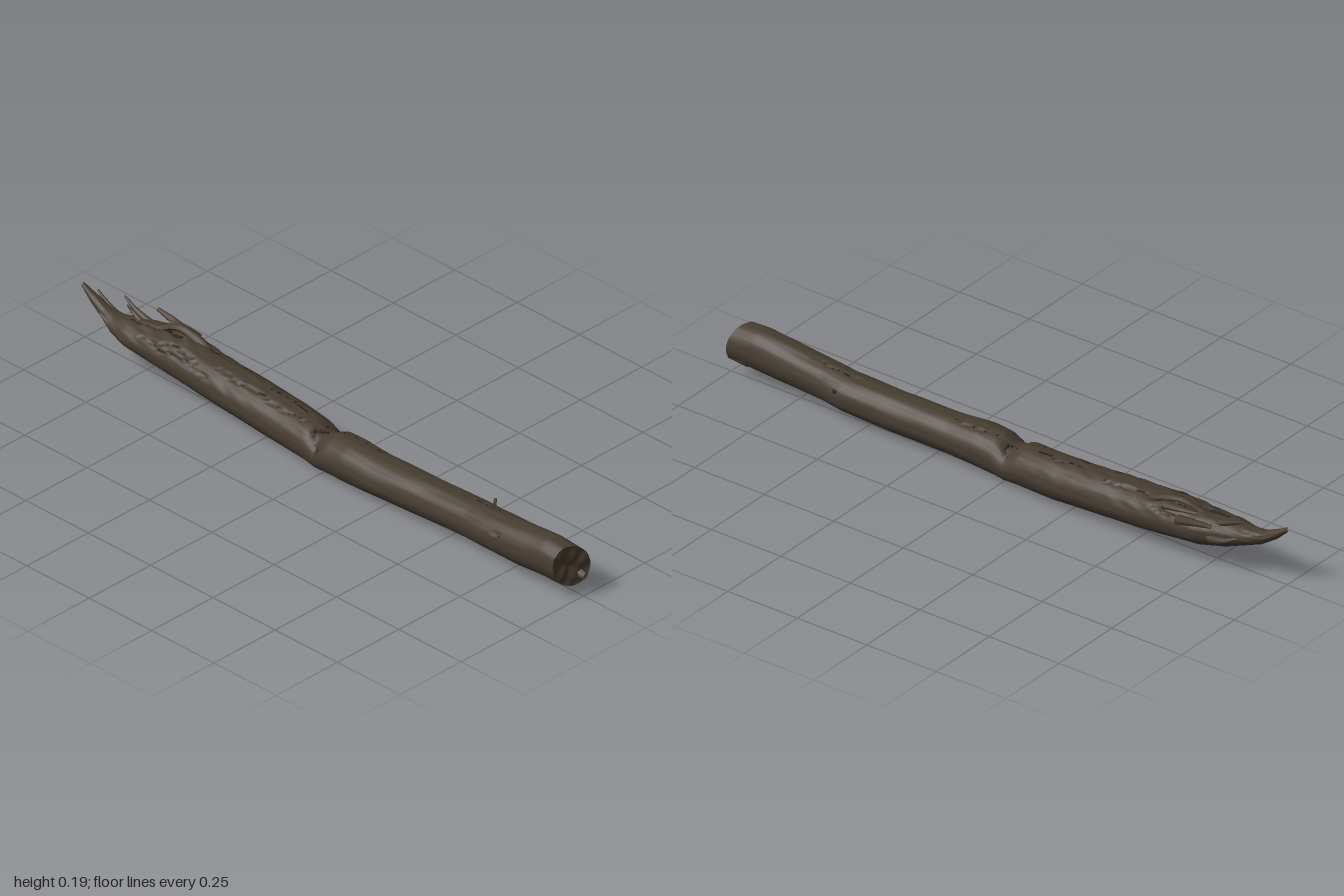
import * as THREE from 'three';

const bark = new THREE.MeshStandardMaterial({ color: 0x463c31 });
bark.name = 'bark brown';
const wood = new THREE.MeshStandardMaterial({ color: 0x483c30, side: THREE.DoubleSide });
wood.name = 'broken wood brown';
const crackDark = new THREE.MeshStandardMaterial({ color: 0x251f19 });
crackDark.name = 'crack dark brown';

// Log sections: x, bottom y, top y, back z, front z
const SECTIONS = [
  [-1, 0.176, 0.19, 0, 0.014], [-0.96, 0.138, 0.17, -0.01, 0.02],
  [-0.91, 0.105, 0.148, -0.018, 0.026], [-0.86, 0.085, 0.14, -0.03, 0.045],
  [-0.8, 0.065, 0.15, -0.055, 0.058], [-0.72, 0.052, 0.157, -0.082, 0.06],
  [-0.6, 0.04, 0.163, -0.086, 0.064], [-0.5, 0.03, 0.155, -0.083, 0.067],
  [-0.4, 0.023, 0.15, -0.08, 0.068], [-0.2, 0.008, 0.138, -0.076, 0.07],
  [-0.06, 0.003, 0.13, -0.064, 0.077], [-0.015, 0.002, 0.11, -0.06, 0.08],
  [0.03, 0.002, 0.133, -0.057, 0.083], [0.1, 0.005, 0.138, -0.055, 0.086],
  [0.2, 0.011, 0.131, -0.052, 0.083], [0.4, 0.015, 0.133, -0.056, 0.073],
  [0.58, 0.021, 0.14, -0.056, 0.069], [0.65, 0.025, 0.145, -0.046, 0.075],
  [0.8, 0.03, 0.157, -0.041, 0.079], [0.9, 0.036, 0.167, -0.038, 0.077],
  [0.972, 0.038, 0.163, -0.035, 0.078],
];
// Cracks along the bark: start x, end x, angle (0 front, PI/2 top), half width, depth
const CRACKS = [
  [-0.74, -0.46, 0.62, 0.06, 0.12], [-0.66, -0.5, 0.95, 0.06, 0.1],
  [-0.82, -0.6, 1.5, 0.09, 0.16], [-0.7, -0.35, 2.0, 0.06, 0.1],
  [-0.45, -0.08, 1.15, 0.06, 0.1], [-0.3, -0.02, 1.75, 0.05, 0.08],
  [-0.78, -0.55, 2.5, 0.07, 0.14], [0.02, 0.2, 1.9, 0.05, 0.08],
  [0.52, 0.72, 1.75, 0.05, 0.08], [0.7, 0.73, 0.5, 0.1, 0.07],
];
const RINGS = 240, SIDES = 64;
const smooth = THREE.MathUtils.smoothstep;

function sectionAt(x) {
  let i = 0;
  while (i < SECTIONS.length - 2 && x > SECTIONS[i + 1][0]) i++;
  const a = SECTIONS[i], b = SECTIONS[i + 1], t = (x - a[0]) / (b[0] - a[0]);
  return a.map((v, k) => v + (b[k] - v) * t);
}

function crackDepth(x, angle) {
  let depth = 0;
  for (const [x0, x1, at, width, d] of CRACKS) {
    if (x < x0 || x > x1) continue;
    const wave = at + 0.07 * Math.sin(x * 37 + at * 5) + 0.04 * Math.sin(x * 90);
    const w = width * Math.sqrt(Math.sin(Math.PI * (x - x0) / (x1 - x0)));
    depth = Math.max(depth, d * (1 - Math.abs(angle - wave) / (w + 0.001)));
  }
  // split running down from the notch
  if (angle > 0.3 && angle < 2.4) {
    const at = -0.02 + 0.02 * Math.sin(angle * 4);
    depth = Math.max(depth, 0.1 * (1 - Math.abs(x - at) / 0.011));
  }
  return depth;
}

function roughness(x, a) {
  const ridges = 0.010 * Math.sin(9 * a + 3 * Math.sin(5 * x)) + 0.007 * Math.sin(17 * a + 11 * x);
  const lumps = 0.014 * Math.sin(13 * x + 2 * a) + 0.008 * Math.sin(31 * x - 3 * a);
  const top = Math.max(0, Math.sin(a)) * (1 - smooth(x, -0.7, 0.1));
  const torn = top * (0.035 * Math.sin(47 * x + 5 * a) * Math.sin(6 * a + 19 * x) + 0.02 * Math.sin(83 * x + 9 * a));
  return (ridges + lumps) * (0.5 + 0.5 * Math.max(0, Math.sin(a))) + torn;
}

function logPoint(x, angle) {
  const [, y0, y1, z0, z1] = sectionAt(x);
  const r = 1 + roughness(x, angle) - crackDepth(x, angle);
  const y = (y0 + y1) / 2 + r * Math.sin(angle) * (y1 - y0) / 2;
  const z = (z0 + z1) / 2 + r * Math.cos(angle) * (z1 - z0) / 2;
  // slanted break at the thick end
  const slant = smooth(x, 0.82, 0.972) * (-0.35 * (z - 0.022) - 0.12 * (y - 0.1));
  return new THREE.Vector3(x + slant, Math.max(0, y), z);
}

function makeGeometry(points, faces) {
  const g = new THREE.BufferGeometry().setFromPoints(points);
  g.setIndex(faces);
  g.computeVertexNormals();
  return g;
}

function buildTrunk() {
  const points = [], plain = [], dark = [];
  for (let i = 0; i <= RINGS; i++) {
    const x = -1 + 1.972 * i / RINGS;
    for (let j = 0; j < SIDES; j++) {
      const angle = j / SIDES * Math.PI * 2;
      points.push(logPoint(x, angle));
      if (i === RINGS) continue;
      const k = (j + 1) % SIDES;
      const a = i * SIDES + j, b = a + SIDES, c = (i + 1) * SIDES + k, d = i * SIDES + k;
      (crackDepth(x + 0.004, angle + 0.05) > 0.055 ? dark : plain).push(a, b, c, a, c, d);
    }
  }
  const g = makeGeometry(points, [...plain, ...dark]);
  g.addGroup(0, plain.length, 0);
  g.addGroup(plain.length, dark.length, 1);
  return new THREE.Mesh(g, [bark, crackDark]);
}

// Uneven broken face closing the thick end
function buildEndFace() {
  const points = [], faces = [], levels = [1, 0.92, 0.75, 0.55, 0.35, 0.15, 0];
  const centre = new THREE.Vector3(0.972, 0.1, 0.022);
  levels.forEach((r, i) => {
    for (let j = 0; j < SIDES; j++) {
      const a = j / SIDES * Math.PI * 2;
      const p = logPoint(0.972, a).lerp(centre, 1 - r);
      const bump = Math.sin(p.y * 110 + p.z * 50) * Math.sin(p.z * 95);
      p.x += r < 1 ? 0.004 * bump - 0.008 * (1 - r) : 0;
      points.push(p);
      if (i === levels.length - 1) continue;
      const k = (j + 1) % SIDES, n = i * SIDES;
      faces.push(n + j, n + SIDES + j, n + SIDES + k, n + j, n + SIDES + k, n + k);
    }
  });
  return new THREE.Mesh(makeGeometry(points, faces), wood);
}

// Tapered splinter along a short path
function splinter(path, r0, r1, flat = 1) {
  const curve = new THREE.CatmullRomCurve3(path.map(p => new THREE.Vector3(...p)));
  const g = new THREE.TubeGeometry(curve, 10, 1, 7);
  const pos = g.attributes.position, v = new THREE.Vector3();
  for (let i = 0; i < pos.count; i++) {
    const t = Math.floor(i / 8) / 10, c = curve.getPointAt(t);
    v.fromBufferAttribute(pos, i).sub(c).multiplyScalar(r0 + (r1 - r0) * t);
    v.y *= flat;
    v.add(c);
    pos.setXYZ(i, v.x, v.y, v.z);
  }
  g.computeVertexNormals();
  return new THREE.Mesh(g, wood);
}

export function createModel() {
  const group = new THREE.Group();
  const add = (mesh, name) => { mesh.name = name; group.add(mesh); };
  add(buildTrunk(), 'trunk');
  add(buildEndFace(), 'brokenEndFace');

  // Torn fibres at the thin end
  const fibres = [
    [[[-0.76, 0.135, -0.03], [-0.82, 0.158, -0.028], [-0.875, 0.18, -0.035]], 0.013, 0.003, 1],
    [[[-0.78, 0.14, -0.01], [-0.82, 0.16, -0.012], [-0.85, 0.165, -0.022]], 0.01, 0.003, 1],
    [[[-0.66, 0.13, -0.07], [-0.72, 0.145, -0.077], [-0.785, 0.155, -0.08]], 0.016, 0.006, 1],
    [[[-0.78, 0.11, 0.035], [-0.85, 0.115, 0.035], [-0.91, 0.135, 0.03]], 0.018, 0.004, 1],
    [[[-0.86, 0.115, -0.012], [-0.93, 0.14, -0.02], [-0.97, 0.165, -0.022]], 0.012, 0.003, 1],
    [[[-0.76, 0.1, -0.055], [-0.81, 0.105, -0.052], [-0.85, 0.12, -0.04]], 0.018, 0.004, 1],
  ];
  fibres.forEach(f => add(splinter(...f), 'splinter'));

  // Raised ragged bark on the upper back
  add(splinter([[-0.54, 0.145, -0.035], [-0.6, 0.166, -0.035], [-0.65, 0.173, -0.03], [-0.71, 0.152, -0.02]], 0.016, 0.01, 0.8), 'raisedBark');
  add(splinter([[-0.6, 0.15, -0.05], [-0.66, 0.158, -0.055], [-0.71, 0.16, -0.05]], 0.02, 0.006, 0.7), 'raisedBark');

  // Small twig on the back
  add(splinter([[0.59, 0.09, -0.03], [0.588, 0.105, -0.055], [0.58, 0.118, -0.068]], 0.009, 0.004), 'twigStub');
  // Lip of wood at the lower back of the thick end
  add(splinter([[0.93, 0.068, -0.006], [0.97, 0.066, -0.009], [0.998, 0.063, -0.01]], 0.024, 0.012), 'endLip');
  return group;
}
